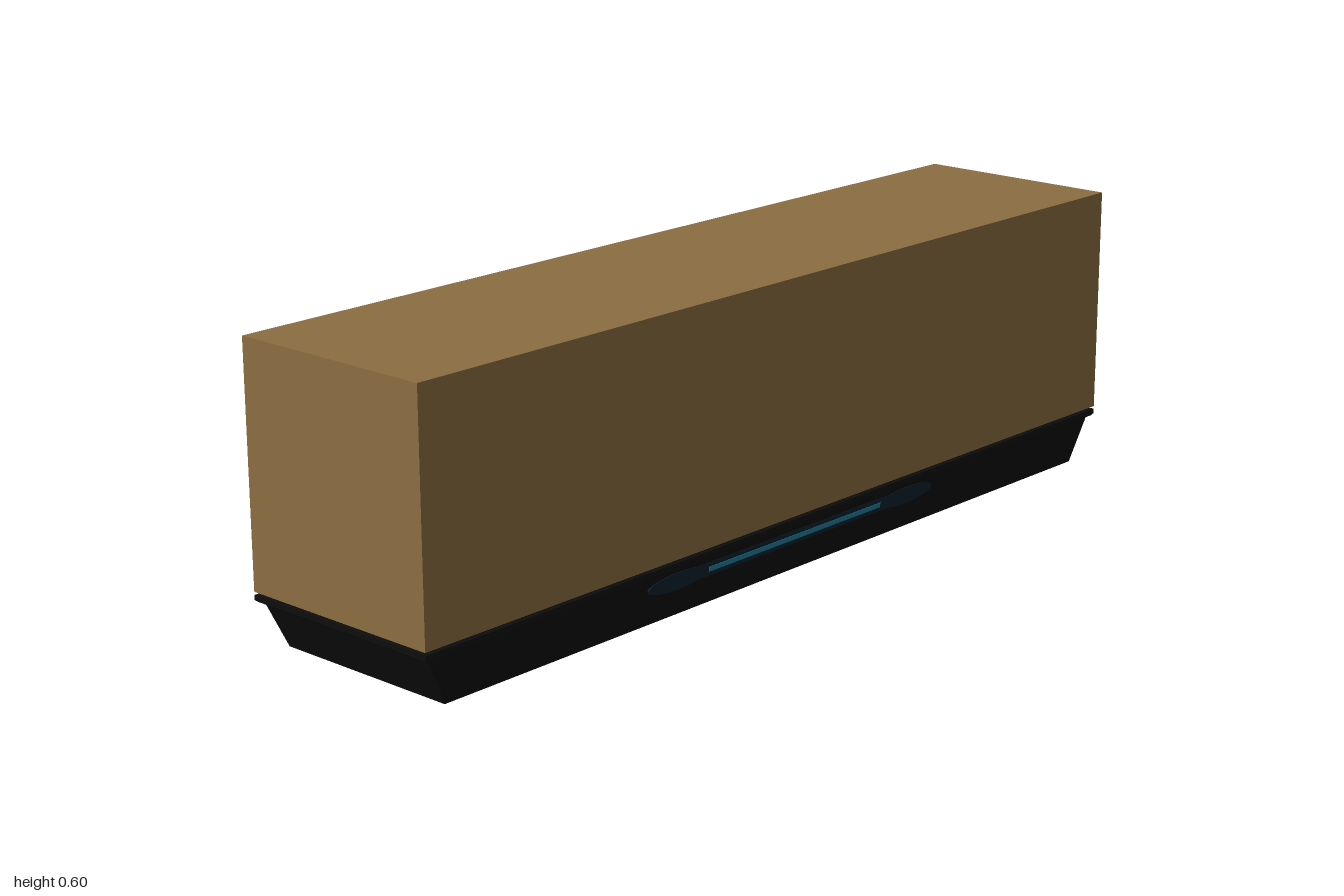
import * as THREE from 'three';

const mat = (name, color) => {
  const m = new THREE.MeshStandardMaterial({ color });
  m.name = name;
  return m;
};

// Joins rectangular rings [halfX, halfZ, y] into a faceted shell
function loftRings(rings) {
  const signs = [[1, 1], [1, -1], [-1, -1], [-1, 1]];
  const at = ([hx, hz, y], j) => [signs[j % 4][0] * hx, y, signs[j % 4][1] * hz];
  const pos = [];
  for (let i = 0; i < rings.length - 1; i++) {
    for (let j = 0; j < 4; j++) {
      const a = at(rings[i], j), b = at(rings[i], j + 1);
      const c = at(rings[i + 1], j + 1), d = at(rings[i + 1], j);
      pos.push(...a, ...b, ...c, ...a, ...c, ...d);
    }
  }
  const geo = new THREE.BufferGeometry();
  geo.setAttribute('position', new THREE.Float32BufferAttribute(pos, 3));
  geo.computeVertexNormals();
  return geo;
}

const polygon = (pts) => new THREE.Shape(pts.map(([x, y]) => new THREE.Vector2(x, y)));
const rect = (hx, hy) => polygon([[-hx, -hy], [hx, -hy], [hx, hy], [-hx, hy]]);
const extrude = (shape, depth) =>
  new THREE.ExtrudeGeometry(shape, { depth, bevelEnabled: false, curveSegments: 16 });

export function createModel() {
  const model = new THREE.Group();
  const wood = mat('wood brown', 0x8b6e42);
  const black = mat('matte black', 0x0d0d0d);
  const navy = mat('dark blue', 0x0c212d);
  const cyan = mat('cyan', 0x1f7f9f);

  const add = (parent, name, geo, material, x = 0, y = 0, z = 0) => {
    const mesh = new THREE.Mesh(geo, material);
    mesh.name = name;
    mesh.position.set(x, y, z);
    parent.add(mesh);
    return mesh;
  };

  // Hollow wooden body, open underneath
  const outline = rect(1, 0.228);
  outline.holes.push(rect(0.7, 0.19));
  const walls = extrude(outline, 0.442);
  walls.rotateX(-Math.PI / 2);
  add(model, 'bodyWalls', walls, wood, 0, 0.118, 0);
  add(model, 'bodyLid', new THREE.BoxGeometry(2, 0.04, 0.456), wood, 0, 0.58, 0);

  // Tapered open frame with a lip and a narrow neck below the body
  add(model, 'baseFrame', loftRings([
    [0.94, 0.208, 0], [0.985, 0.219, 0.097], [0.995, 0.226, 0.098], [1, 0.228, 0.102],
    [1, 0.228, 0.112], [0.99, 0.219, 0.112], [0.99, 0.219, 0.118],
    [0.9, 0.195, 0.118], [0.87, 0.19, 0], [0.94, 0.208, 0],
  ]), black);

  // Each long side: inner wooden lining and outer light strip
  const liningShape = polygon([[-0.65, 0.004], [0.65, 0.004], [0.69, 0.098], [-0.69, 0.098]]);
  for (const [side, turn] of [['front', 0], ['back', Math.PI]]) {
    const half = new THREE.Group();
    half.name = side + 'Side';
    half.rotation.y = turn;
    model.add(half);
    add(half, side + 'Lining', extrude(liningShape, 0.006), wood, 0, 0, 0.185);

    const strip = new THREE.Group();
    strip.name = side + 'LightStrip';
    strip.position.set(0, 0.07, 0.2158);
    strip.rotation.x = 0.112;
    half.add(strip);
    add(strip, 'stripBacking', extrude(rect(0.35, 0.014), 0.001), navy);
    add(strip, 'stripLine', extrude(rect(0.26, 0.005), 0.002), cyan);
    for (const s of [-1, 1]) {
      const lens = new THREE.Shape();
      lens.absellipse(0, 0, 0.085, 0.018, 0, Math.PI * 2);
      add(strip, 'stripEnd', extrude(lens, 0.0015), navy, s * 0.345);
    }
  }
  return model;
}
